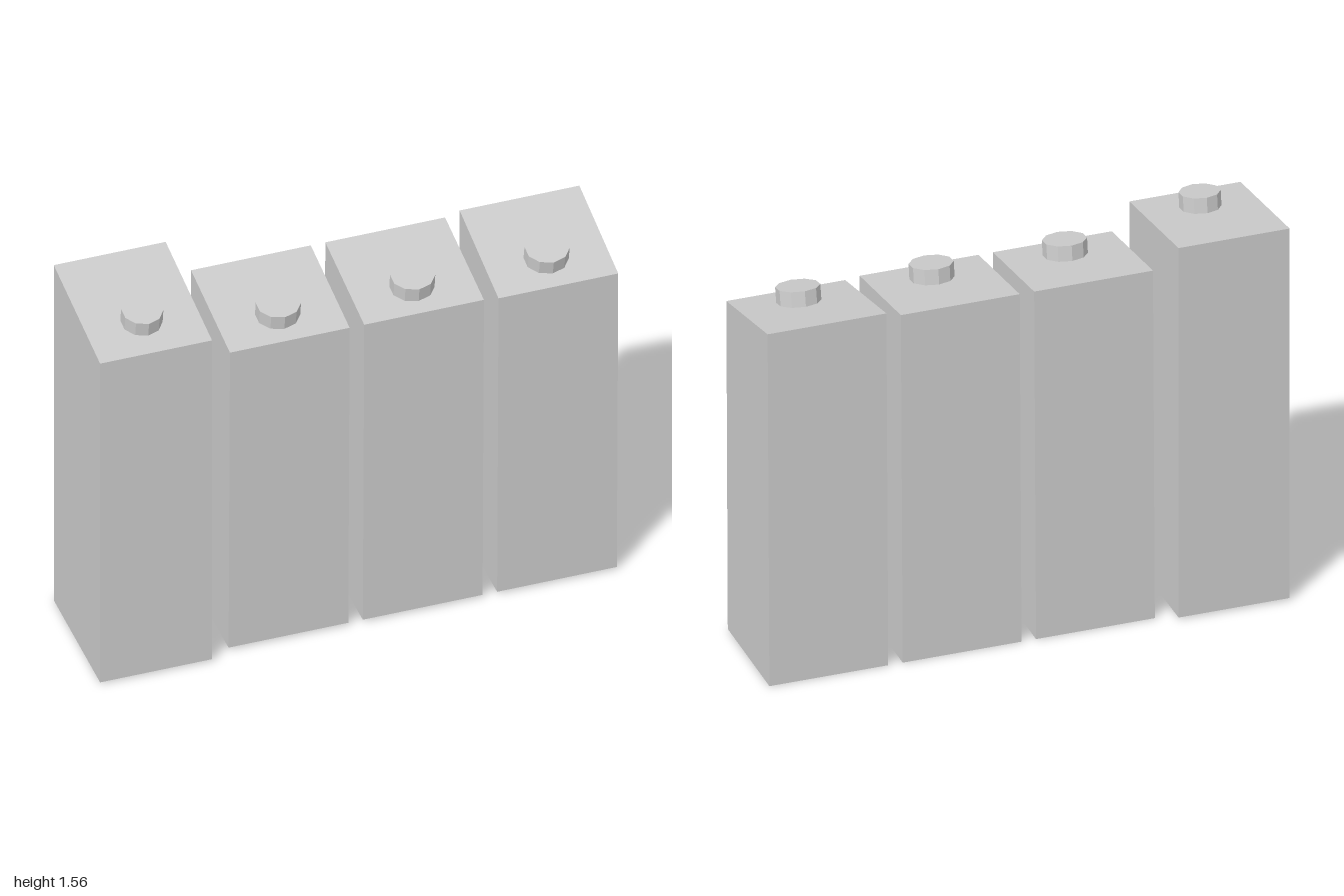
import * as THREE from 'three';

const material = new THREE.MeshStandardMaterial({ color: 0xcccccc, flatShading: true });

// Block with a side profile of [z, y] corners, extruded along x
function block(x0, x1, profile) {
  const shape = new THREE.Shape(profile.map(([z, y]) => new THREE.Vector2(-z, y)));
  const geometry = new THREE.ExtrudeGeometry(shape, { depth: x1 - x0, bevelEnabled: false });
  geometry.rotateY(Math.PI / 2);
  geometry.translate(x0, 0, 0);
  const mesh = new THREE.Mesh(geometry, material);
  mesh.name = 'body';
  return mesh;
}

// Low stud standing square to the sloping top, near its front edge
function stud(x, radius, front, back) {
  const z = 0.1;
  const slope = (back[1] - front[1]) / (front[0] - back[0]);
  const mesh = new THREE.Mesh(new THREE.CylinderGeometry(1, 1, 0.07, 10), material);
  mesh.name = 'stud';
  mesh.scale.set(radius, 1, 0.077);
  mesh.rotation.x = Math.atan(slope);
  mesh.position.set(x, front[1] + (front[0] - z) * slope + 0.025, z);
  return mesh;
}

export function createModel() {
  const group = new THREE.Group();
  group.name = 'blockRow';

  // Profile corners: bottom back, bottom front, top front, top back
  const tall = [[-0.26, 0.007], [0.26, 0.007], [0.26, 1.465], [-0.26, 1.54]];
  const middle = [[-0.222, 0], [0.218, 0.01], [0.233, 1.37], [-0.203, 1.432]];
  const end = [[-0.222, 0], [0.218, 0.01], [0.233, 1.363], [-0.203, 1.45]];

  const blocks = [
    ['tallBlock', -1, -0.57, tall, 0.077],
    ['innerRightBlock', -0.492, -0.032, middle, 0.083],
    ['innerLeftBlock', 0.024, 0.484, middle, 0.083],
    ['endBlock', 0.54, 1, end, 0.083],
  ];
  for (const [name, x0, x1, profile, radius] of blocks) {
    const part = new THREE.Group();
    part.name = name;
    part.add(block(x0, x1, profile), stud((x0 + x1) / 2, radius, profile[2], profile[3]));
    group.add(part);
  }
  return group;
}
